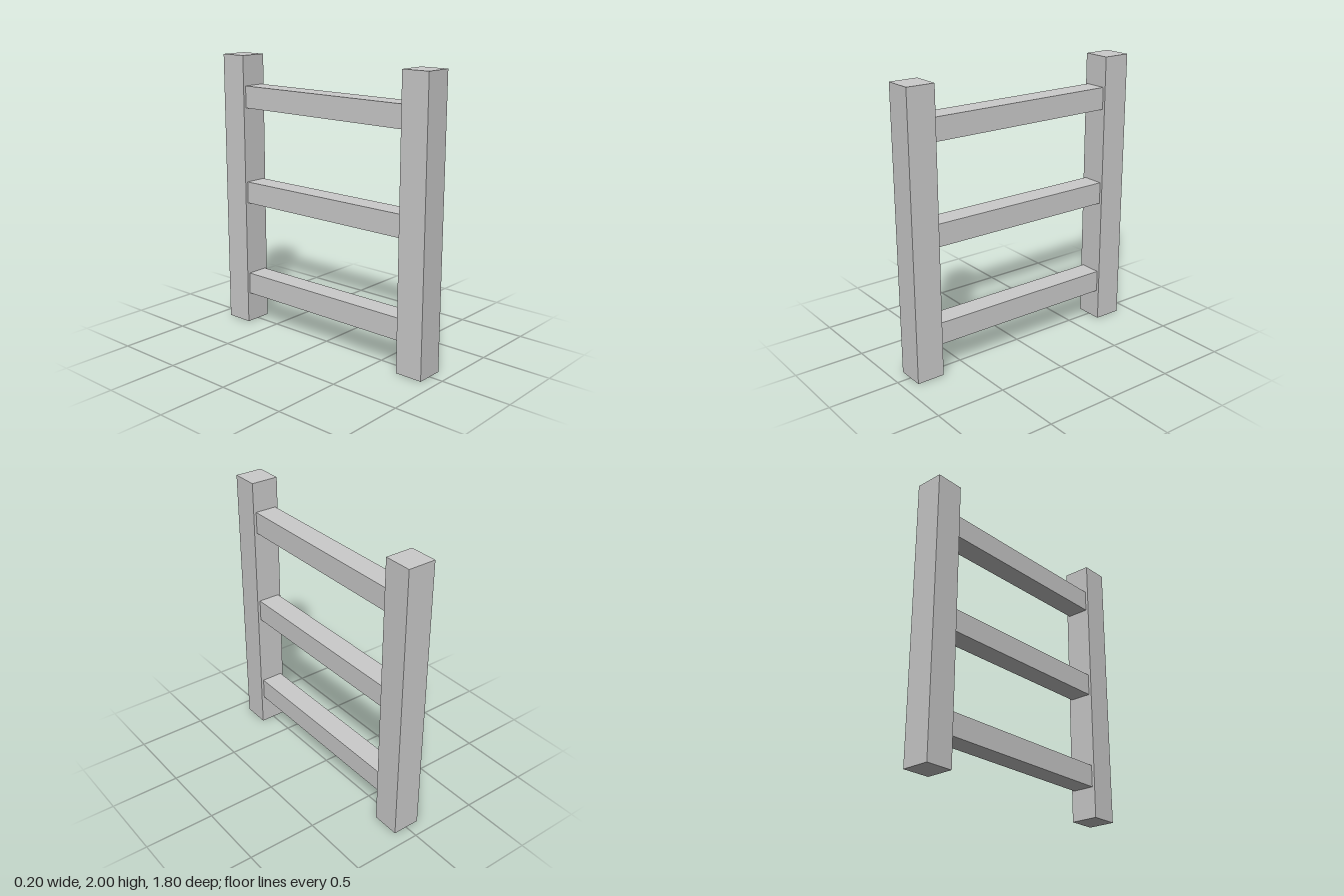
import * as THREE from 'three';

export function createModel() {
  const group = new THREE.Group();
  const material = new THREE.MeshStandardMaterial({ color: 0xcccccc, flatShading: true });

  const addBox = (name, size, y, z) => {
    const mesh = new THREE.Mesh(new THREE.BoxGeometry(...size), material);
    mesh.name = name;
    mesh.position.set(0, y, z);
    group.add(mesh);
  };

  // Upright square posts at the front and back
  addBox('frontPost', [0.2, 2, 0.2], 1, 0.8);
  addBox('backPost', [0.2, 2, 0.2], 1, -0.8);

  // Three evenly spaced rungs spanning the gap between the posts
  ['lowerRung', 'middleRung', 'upperRung'].forEach((name, i) => {
    addBox(name, [0.16, 0.158, 1.4], 0.301 + i * 0.702, 0);
  });

  return group;
}
